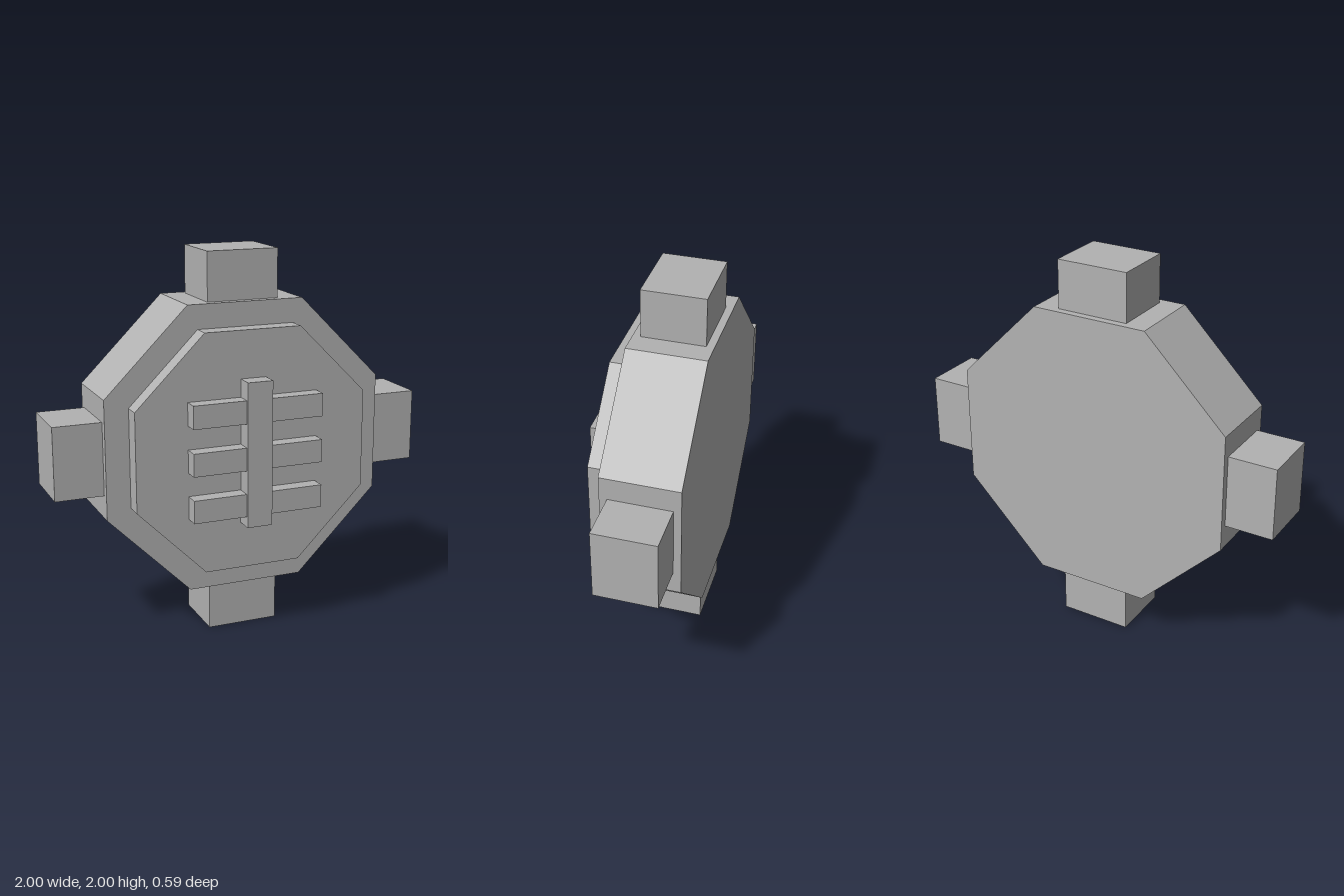
import * as THREE from 'three';

const CENTER_Y = 1;

export function createModel() {
  const model = new THREE.Group();
  model.name = 'octagonalDevice';
  const grey = new THREE.MeshStandardMaterial({ color: 0xb2b2b2 });
  grey.name = 'plain grey';

  const add = (name, geometry, x, y, z) => {
    const mesh = new THREE.Mesh(geometry, grey);
    mesh.name = name;
    mesh.position.set(x, y, z);
    model.add(mesh);
  };

  // Flat-topped octagonal slab between two depths
  const addOctagon = (name, apothem, back, front) => {
    const radius = apothem / Math.cos(Math.PI / 8);
    const points = [];
    for (let i = 0; i < 8; i++) {
      const a = (i + 0.5) * Math.PI / 4;
      points.push(new THREE.Vector2(radius * Math.cos(a), radius * Math.sin(a)));
    }
    const geometry = new THREE.ExtrudeGeometry(new THREE.Shape(points), {
      depth: front - back, bevelEnabled: false,
    });
    add(name, geometry, 0, CENTER_Y, back);
  };

  // Box given by its width, height and depth range
  const addBox = (name, x, y, width, height, back, front) => {
    add(name, new THREE.BoxGeometry(width, height, front - back), x, y, (front + back) / 2);
  };

  // Main body and raised front plate
  addOctagon('body', 0.748, -0.296, 0.106);
  addOctagon('frontPlate', 0.623, 0.106, 0.203);

  // Four lugs standing out of the flat sides
  const lugLength = 0.26;
  for (const side of [-1, 1]) {
    const reach = side * (1 - lugLength / 2);
    addBox(side > 0 ? 'leftLug' : 'rightLug', reach, CENTER_Y, lugLength, 0.38, -0.257, 0.066);
    addBox(side > 0 ? 'topLug' : 'bottomLug', 0, CENTER_Y + reach, 0.38, lugLength, -0.257, 0.066);
  }

  // Grille: upright spine with three cross bars
  addBox('grilleSpine', 0, CENTER_Y, 0.135, 0.755, 0.2, 0.296);
  for (let i = -1; i <= 1; i++) {
    addBox('grilleBar', 0, 0.981 + i * 0.243, 0.7, 0.12, 0.2, 0.283);
  }
  return model;
}
